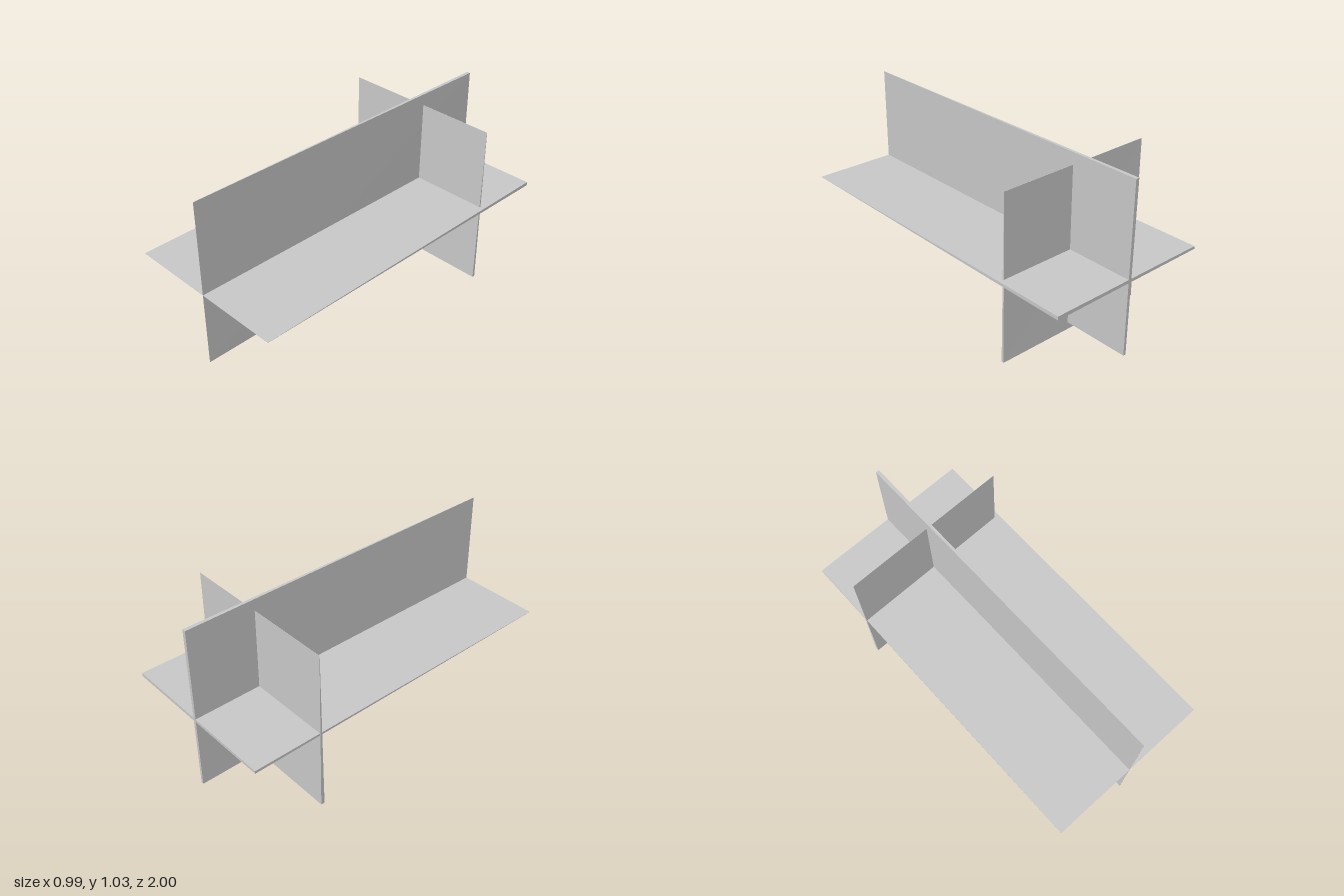
import * as THREE from 'three';

// A thin slab: box vertices moved by a rule so that it tapers to a fine edge.
function taperedSlab(name, rule) {
  const geometry = new THREE.BoxGeometry(1, 1, 1);
  const pos = geometry.attributes.position;
  for (let i = 0; i < pos.count; i++) {
    pos.setXYZ(i, ...rule(pos.getX(i) + 0.5, pos.getY(i) + 0.5, pos.getZ(i) + 0.5));
  }
  geometry.computeVertexNormals();
  const mesh = new THREE.Mesh(
    geometry,
    new THREE.MeshStandardMaterial({ color: 0xcccccc, flatShading: true })
  );
  mesh.name = name;
  return mesh;
}

const { lerp } = THREE.MathUtils;
const EDGE = 0.001; // thickness left at the fine edge

export function createModel() {
  const model = new THREE.Group();
  model.name = 'crossedPanels';

  // Upright panel along z: thick at the back, a little thicker at the top
  model.add(taperedSlab('uprightPanel', (u, v, w) => {
    const thickness = lerp(lerp(0.016, 0.021, v), EDGE, w);
    return [lerp(0.004, 0.003, w) + (u - 0.5) * thickness, lerp(0.043, 1.032, v), lerp(-1, 1, w)];
  }));

  // Level panel along z: thick at the back, a little thicker at the left
  model.add(taperedSlab('levelPanel', (u, v, w) => {
    const thickness = lerp(lerp(0.016, 0.021, u), EDGE, w);
    return [lerp(-0.495, 0.495, u), lerp(0.481, 0.484, w) + (v - 0.5) * thickness, lerp(-1, 1, w)];
  }));

  // Cross panel near the back: thick at the bottom, a little thicker at the right
  model.add(taperedSlab('crossPanel', (u, v, w) => {
    const thickness = lerp(lerp(0.022, 0.016, u), EDGE, v);
    return [lerp(-0.498, 0.467, u), lerp(0, 0.965, v), lerp(-0.594, -0.597, v) + (w - 0.5) * thickness];
  }));

  return model;
}
